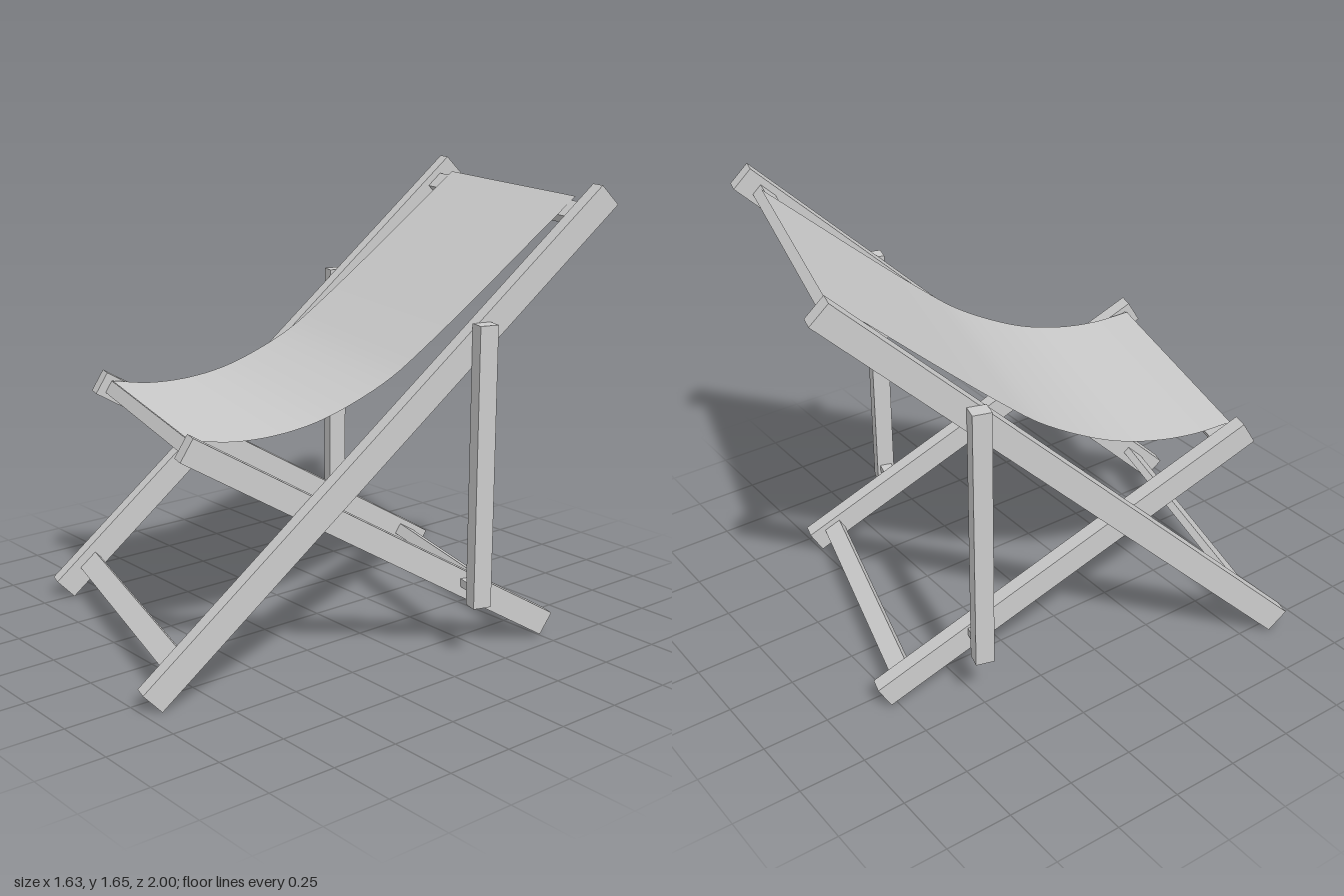
import * as THREE from 'three';

const wood = new THREE.MeshStandardMaterial({ color: 0xcccccc });
const cloth = new THREE.MeshStandardMaterial({ color: 0xcccccc, side: THREE.DoubleSide });

function bar(parent, name, size, pos) {
  const mesh = new THREE.Mesh(new THREE.BoxGeometry(...size), wood);
  mesh.name = name;
  mesh.position.set(...pos);
  parent.add(mesh);
}

// A tilted frame: two side rails along local z, joined by cross slats.
// Each slat is [name, depth along the rail, thickness, place along the rail].
function frame(name, { height, pitch, x, rail, slats }) {
  const g = new THREE.Group();
  g.name = name;
  g.position.y = height;
  g.rotation.x = THREE.MathUtils.degToRad(pitch);
  for (const [side, s] of [['left', 1], ['right', -1]]) {
    bar(g, side + 'Rail', rail, [s * x, 0, 0]);
  }
  const span = 2 * x - rail[0];
  for (const [slat, depth, thick, z] of slats) {
    bar(g, slat, [span, thick, depth], [0, 0, z]);
  }
  return g;
}

// Hanging fabric: a flat sheet bent along a (z, y) profile
function sling() {
  const curve = new THREE.CatmullRomCurve3([
    [-0.785, 1.6], [-0.645, 1.48], [-0.4, 1.27], [-0.2, 1.105], [-0.08, 1.015],
    [0.06, 0.94], [0.2, 0.885], [0.35, 0.855], [0.5, 0.85], [0.645, 0.87],
  ].map(([z, y]) => new THREE.Vector3(0, y, z)));
  const geo = new THREE.PlaneGeometry(0.92, 1, 1, 36);
  const p = geo.attributes.position;
  for (let i = 0; i < p.count; i++) {
    const c = curve.getPoint(0.5 - p.getY(i));
    p.setXYZ(i, p.getX(i), c.y, c.z);
  }
  geo.computeVertexNormals();
  const mesh = new THREE.Mesh(geo, cloth);
  mesh.name = 'fabricSling';
  return mesh;
}

export function createModel() {
  const chair = new THREE.Group();
  chair.name = 'deckChair';
  chair.rotation.y = -0.283; // the chair stands turned a little

  // Long outer frame leaning back
  chair.add(frame('backFrame', {
    height: 0.825, pitch: 43.4, x: 0.568, rail: [0.06, 0.095, 2.304],
    slats: [['topSlat', 0.07, 0.045, -1.049], ['footSlat', 0.083, 0.03, 1.011]],
  }));

  // Shorter inner frame rising to the front
  chair.add(frame('seatFrame', {
    height: 0.455, pitch: -30.7, x: 0.505, rail: [0.06, 0.09, 1.587],
    slats: [['seatSlat', 0.085, 0.05, 0.72], ['rearSlat', 0.07, 0.045, -0.7]],
  }));

  // Upright props outside the back frame, pegged to the seat frame
  for (const [side, s] of [['left', 1], ['right', -1]]) {
    bar(chair, side + 'Prop', [0.057, 1.005, 0.068], [s * 0.626, 0.7075, -0.348]);
    bar(chair, side + 'Peg', [0.08, 0.03, 0.045], [s * 0.566, 0.262, -0.348]);
  }

  chair.add(sling());

  const model = new THREE.Group();
  model.add(chair);
  return model;
}
